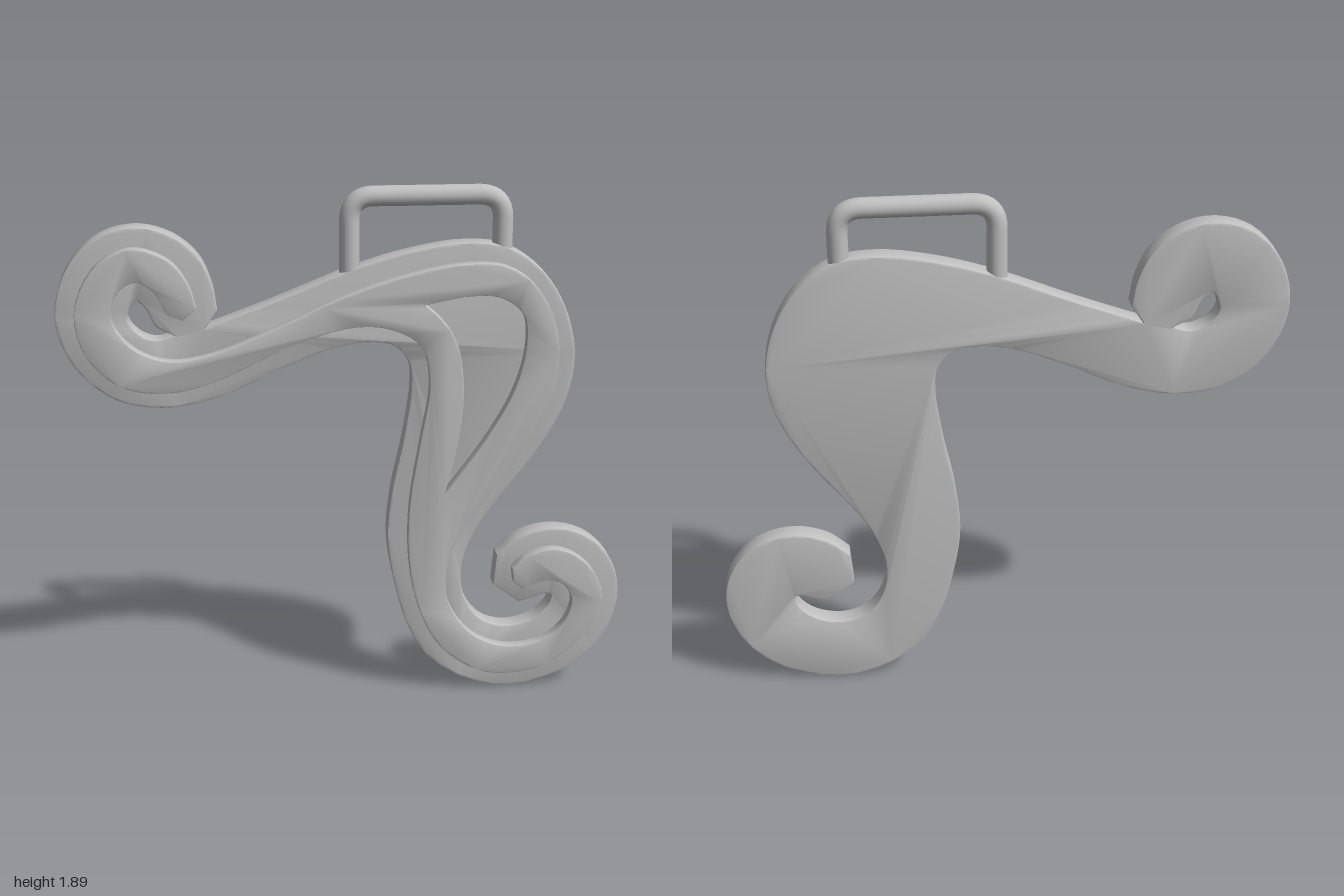
import * as THREE from 'three';
import { toCreasedNormals } from 'three/addons/utils/BufferGeometryUtils.js';

const metal = new THREE.MeshStandardMaterial({ color: 0xc0c0c0 });
metal.name = 'plain grey';

// Smooth runs of points, joined at sharp corners, sampled to one closed loop
function loop(runs) {
  const out = [];
  for (const run of runs) {
    const pts = run.map(([x, y]) => new THREE.Vector3(x, y, 0));
    const dense = pts.length < 3 ? pts
      : new THREE.CatmullRomCurve3(pts, false, 'centripetal').getPoints(pts.length * 4);
    for (const p of dense) {
      const v = new THREE.Vector2(p.x, p.y);
      if (!out.length || out[out.length - 1].distanceTo(v) > 0.002) out.push(v);
    }
  }
  if (out[0].distanceTo(out[out.length - 1]) < 0.002) out.pop();
  return out;
}

// Plate between two depths with softened edges
function plate(name, outline, hole, z0, z1, bevel) {
  const shape = new THREE.Shape(outline);
  if (hole) shape.holes.push(new THREE.Path(hole));
  const geo = new THREE.ExtrudeGeometry(shape, {
    depth: z1 - z0 - 2 * bevel, bevelEnabled: true, bevelThickness: bevel,
    bevelSize: bevel, bevelOffset: -bevel, bevelSegments: 2,
  });
  geo.translate(0, 0, z0 + bevel);
  const mesh = new THREE.Mesh(toCreasedNormals(geo, 0.6), metal);
  mesh.name = name;
  return mesh;
}

export function createModel() {
  const group = new THREE.Group();
  group.name = 'scrollPendant';

  // Base: arm top, right flank, lower curl, left flank, upper curl
  const baseOutline = loop([
    [[-0.49, 1.42], [-0.25, 1.51], [0, 1.61], [0.2, 1.67], [0.4, 1.70], [0.55, 1.68], [0.68, 1.585],
      [0.76, 1.45], [0.795, 1.28], [0.76, 1.1], [0.66, 0.92], [0.54, 0.76], [0.45, 0.62],
      [0.41, 0.48], [0.43, 0.36], [0.49, 0.28], [0.58, 0.25], [0.68, 0.275], [0.74, 0.335],
      [0.745, 0.37], [0.72, 0.375]],
    [[0.63, 0.345]],
    [[0.53, 0.42]],
    [[0.54, 0.54], [0.62, 0.605], [0.74, 0.635], [0.87, 0.60], [0.965, 0.50], [0.997, 0.36],
      [0.95, 0.2], [0.84, 0.08], [0.7, 0.02], [0.57, 0.003], [0.43, 0.04], [0.3, 0.13], [0.22, 0.26],
      [0.165, 0.45], [0.14, 0.62], [0.155, 0.8], [0.195, 1.0], [0.22, 1.2], [0.21, 1.28],
      [0.16, 1.34], [0.07, 1.355], [-0.06, 1.335], [-0.25, 1.26], [-0.45, 1.17], [-0.64, 1.135],
      [-0.8, 1.165], [-0.92, 1.26], [-0.985, 1.38], [-0.997, 1.50], [-0.95, 1.64], [-0.85, 1.74],
      [-0.72, 1.775], [-0.6, 1.745], [-0.51, 1.67], [-0.465, 1.57], [-0.45, 1.48]],
  ]);
  const eye = loop([
    [[-0.60, 1.395], [-0.66, 1.43], [-0.69, 1.49], [-0.725, 1.52], [-0.755, 1.46],
      [-0.72, 1.405], [-0.66, 1.38], [-0.60, 1.395]],
  ]);
  group.add(plate('basePlate', baseOutline, eye, -0.058, 0.018, 0.008));

  // Raised inner band, following the base with an even rim
  const bandOutline = loop([
    [[-0.52, 1.5], [-0.54, 1.57], [-0.60, 1.66], [-0.73, 1.71], [-0.855, 1.65], [-0.93, 1.50],
      [-0.9, 1.34], [-0.79, 1.23], [-0.64, 1.2], [-0.47, 1.235], [-0.2, 1.36], [0.01, 1.42],
      [0.145, 1.41], [0.25, 1.345], [0.28, 1.21], [0.25, 1.0], [0.215, 0.76], [0.215, 0.545],
      [0.25, 0.36], [0.33, 0.2], [0.465, 0.095], [0.59, 0.073], [0.73, 0.105], [0.865, 0.215],
      [0.93, 0.36], [0.89, 0.48], [0.81, 0.55], [0.73, 0.57], [0.64, 0.54], [0.593, 0.497]],
    [[0.598, 0.445]],
    [[0.635, 0.415], [0.715, 0.445], [0.78, 0.43], [0.817, 0.365], [0.785, 0.267], [0.705, 0.203],
      [0.57, 0.187], [0.45, 0.24], [0.36, 0.375], [0.36, 0.545], [0.44, 0.705], [0.57, 0.89],
      [0.68, 1.08], [0.73, 1.27], [0.71, 1.43], [0.635, 1.56], [0.535, 1.625], [0.395, 1.635],
      [0.2, 1.6], [-0.015, 1.53], [-0.255, 1.42], [-0.47, 1.335], [-0.62, 1.315], [-0.735, 1.36],
      [-0.805, 1.455], [-0.79, 1.55], [-0.725, 1.595], [-0.667, 1.565], [-0.62, 1.48]],
    [[-0.567, 1.46]],
  ]);
  // Sunken teardrop
  const teardrop = loop([
    [[0.26, 1.495], [0.41, 1.522], [0.52, 1.515], [0.6, 1.455], [0.615, 1.35], [0.58, 1.19],
      [0.49, 1.015], [0.34, 0.80]],
    [[0.34, 0.80], [0.375, 0.945], [0.4, 1.16], [0.375, 1.35], [0.32, 1.44], [0.26, 1.495]],
  ]);
  group.add(plate('raisedBand', bandOutline, teardrop, 0.012, 0.058, 0.005));

  // Hanging loop with rounded corners
  const V = (x, y) => new THREE.Vector3(x, y, -0.02);
  const L = 0.004, R = 0.53, T = 1.86, C = 0.085;
  const path = new THREE.CurvePath();
  path.add(new THREE.LineCurve3(V(L, 1.56), V(L, T - C)));
  path.add(new THREE.QuadraticBezierCurve3(V(L, T - C), V(L, T), V(L + C, T)));
  path.add(new THREE.LineCurve3(V(L + C, T), V(R - C, T)));
  path.add(new THREE.QuadraticBezierCurve3(V(R - C, T), V(R, T), V(R, T - C)));
  path.add(new THREE.LineCurve3(V(R, T - C), V(R, 1.6)));
  const handle = new THREE.Mesh(new THREE.TubeGeometry(path, 80, 0.035, 20), metal);
  handle.name = 'hangingLoop';
  group.add(handle);

  return group;
}
